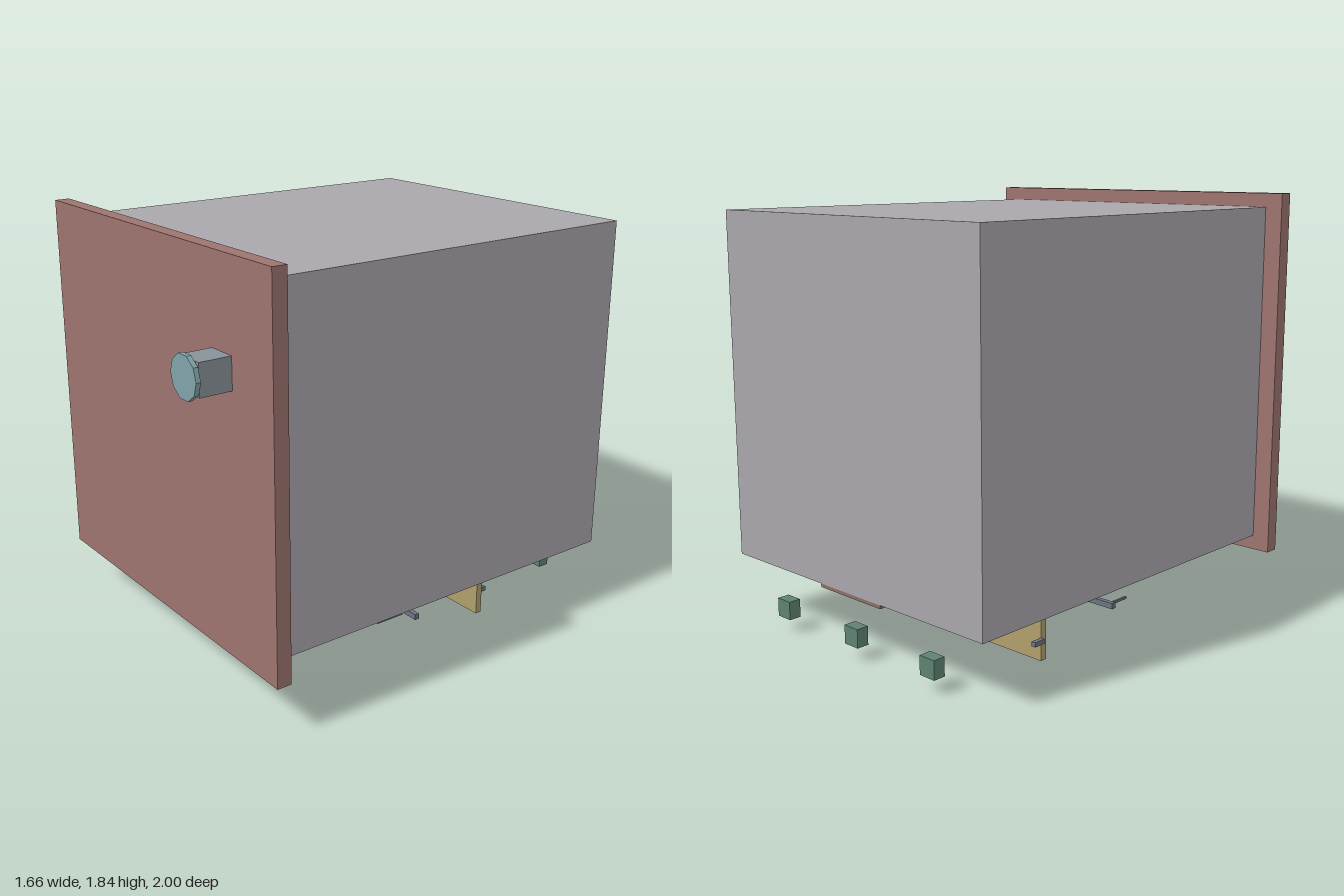
import * as THREE from 'three';

const mat = (color) => new THREE.MeshStandardMaterial({ color, flatShading: true });
const shell = mat(0xaaa7ad), red = mat(0x9d746f), stemGrey = mat(0x8a9299), teal = mat(0x7fa3a8);
const tan = mat(0xb09f6c), steel = mat(0x6b7480), green = mat(0x5f8271), brown = mat(0x8f7068);

export function createModel() {
  const model = new THREE.Group();

  // Box given by its low and high corner on each axis
  function box(name, material, [x0, x1], [y0, y1], [z0, z1], parent = model) {
    const mesh = new THREE.Mesh(new THREE.BoxGeometry(x1 - x0, y1 - y0, z1 - z0), material);
    mesh.position.set((x0 + x1) / 2, (y0 + y1) / 2, (z0 + z1) / 2);
    mesh.name = name;
    parent.add(mesh);
    return mesh;
  }
  const around = (c, half) => [c - half, c + half];

  // Main block and front plate
  box('body', shell, [-0.75, 0.75], [0.28, 1.78], [-1, 0.77]);
  box('frontPlate', red, [-0.83, 0.83], [0.215, 1.84], [0.77, 0.835]);

  // Knob: square stem with a ten-sided cap
  box('knobStem', stemGrey, around(0.5, 0.067), around(1.4, 0.067), [0.835, 0.974]);
  const cap = new THREE.Mesh(new THREE.CylinderGeometry(0.09, 0.09, 0.02, 10), teal);
  cap.rotation.set(Math.PI / 2, Math.PI / 2, 0, 'XYZ');
  cap.position.set(0.5, 1.4, 0.99);
  cap.name = 'knobCap';
  model.add(cap);

  // Three by three pads on the underside, each with a row of studs behind
  for (const z of [0.365, -0.115, -0.6]) {
    for (const x of [-0.47, 0, 0.47]) {
      const pad = new THREE.Group();
      pad.name = 'pad';
      box('padFrame', shell, around(x, 0.12), [0.26, 0.28], around(z, 0.097), pad);
      box('padPane', teal, around(x, 0.1), [0.25, 0.26], around(z, 0.08), pad);
      for (let i = 0; i < 4; i++) {
        box('padStud', brown, around(x - 0.09 + i * 0.06, 0.01), [0.236, 0.256], around(z - 0.09, 0.009), pad);
      }
      model.add(pad);
    }
  }

  // Hatch at the rear of the underside: frame with an opening, and a pane
  const outline = new THREE.Shape([[-0.185, -1], [0.185, -1], [0.185, -0.54], [-0.185, -0.54]]
    .map(([x, z]) => new THREE.Vector2(x, z)));
  outline.holes.push(new THREE.Path([[-0.15, -0.96], [-0.15, -0.58], [0.15, -0.58], [0.15, -0.96]]
    .map(([x, z]) => new THREE.Vector2(x, z))));
  const hatch = new THREE.Mesh(new THREE.ExtrudeGeometry(outline, { depth: 0.015, bevelEnabled: false }), brown);
  hatch.rotation.x = Math.PI / 2;
  hatch.position.y = 0.28;
  hatch.name = 'hatchFrame';
  model.add(hatch);
  box('hatchPane', teal, [-0.13, 0.13], [0.257, 0.28], [-0.95, -0.69]);

  // Upright board with a row of pegs
  box('board', tan, [-0.565, 0.565], [0, 0.27], [-0.485, -0.455]);
  for (let i = 0; i < 5; i++) {
    box('peg', steel, around(-0.575 + i * 0.275, 0.01), [0.08, 0.1], [-0.54, -0.485]);
  }

  // Cross bar with thin rods reaching forward
  box('crossBar', steel, [-0.6, 0.6], [0.115, 0.14], [-0.075, -0.053]);
  for (let i = 0; i < 8; i++) {
    box('rod', steel, around(-0.545 + i * 0.151, 0.005), [0.106, 0.116], [-0.053, 0.088]);
  }

  // Rear blocks
  for (const x of [-0.45, 0, 0.45]) {
    box('rearBlock', green, around(x, 0.04), [0.06, 0.14], [-1, -0.945]);
  }
  return model;
}
